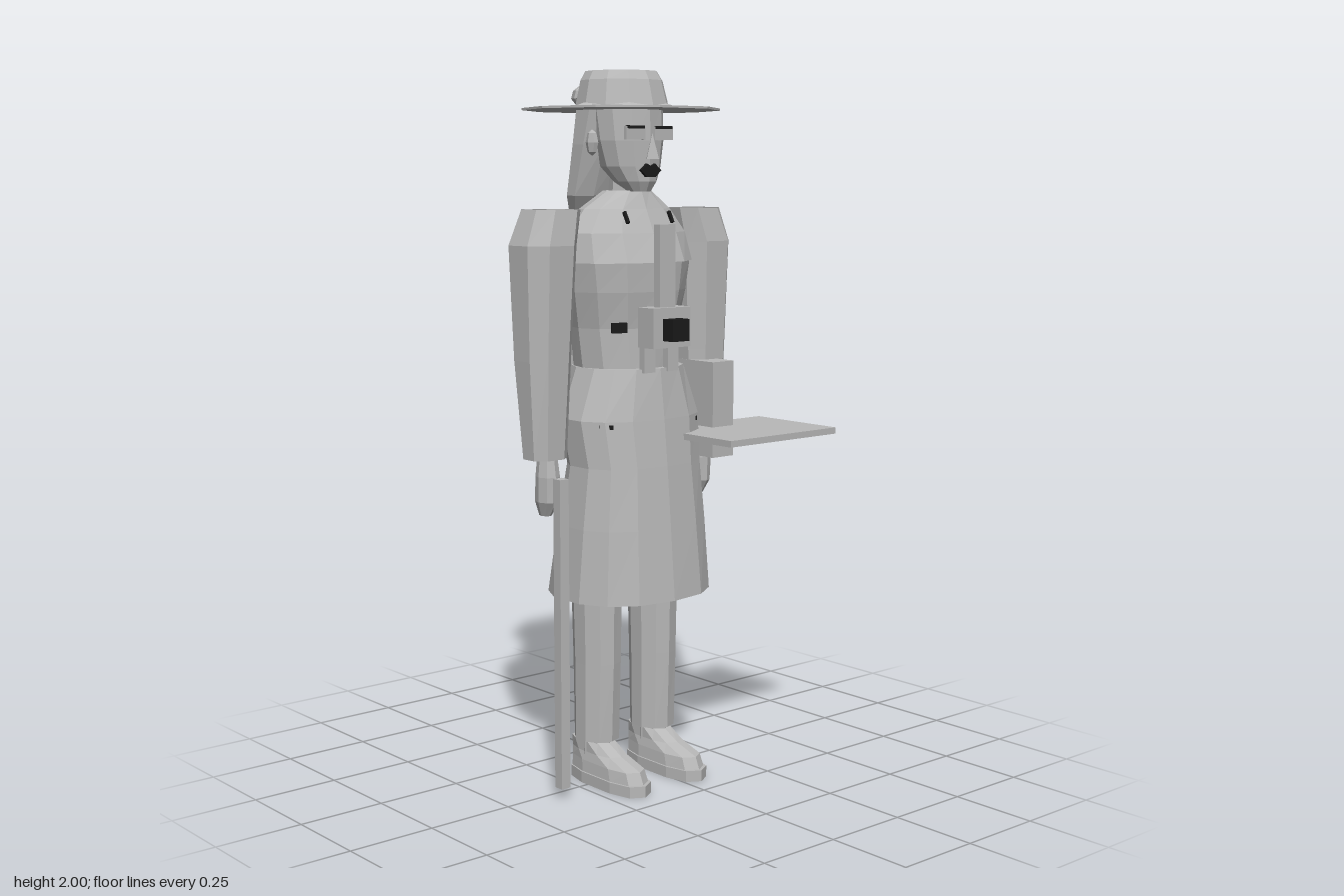
import * as THREE from 'three';

const CX = -0.06; // body axis

export function createModel() {
  const model = new THREE.Group();
  model.name = 'traveller';
  const grey = new THREE.MeshStandardMaterial({ color: 0xb8b8b8, flatShading: true, side: THREE.DoubleSide });
  grey.name = 'light grey';
  const black = new THREE.MeshStandardMaterial({ color: 0x1a1a1a, flatShading: true, side: THREE.DoubleSide });
  black.name = 'black';

  function add(name, geo, mat = grey) {
    const m = new THREE.Mesh(geo, mat);
    m.name = name;
    model.add(m);
    return m;
  }

  // Box given by its extents
  function box(name, x0, x1, y0, y1, z0, z1, mat) {
    const m = add(name, new THREE.BoxGeometry(x1 - x0, y1 - y0, z1 - z0), mat);
    m.position.set((x0 + x1) / 2, (y0 + y1) / 2, (z0 + z1) / 2);
    return m;
  }

  // Rings of n sides stacked upwards; row = [y, x0, x1, zBack, zFront]
  function loft(rows, n, { bottom = true, top = true, turn = 0, power = 1 } = {}) {
    const pos = [], idx = [];
    const soft = v => Math.sign(v) * Math.abs(v) ** power;
    for (const [y, x0, x1, z0, z1] of rows) {
      for (let i = 0; i < n; i++) {
        const a = (i + turn) / n * Math.PI * 2;
        pos.push((x0 + x1) / 2 + soft(Math.sin(a)) * (x1 - x0) / 2, y, (z0 + z1) / 2 + soft(Math.cos(a)) * (z1 - z0) / 2);
      }
    }
    for (let r = 0; r < rows.length - 1; r++) {
      for (let i = 0; i < n; i++) {
        const a = r * n + i, b = r * n + (i + 1) % n;
        idx.push(a, b, b + n, a, b + n, a + n);
      }
    }
    const last = (rows.length - 1) * n;
    for (let i = 1; i < n - 1; i++) {
      if (bottom) idx.push(0, i + 1, i);
      if (top) idx.push(last, last + i, last + i + 1);
    }
    const g = new THREE.BufferGeometry();
    g.setAttribute('position', new THREE.Float32BufferAttribute(pos, 3));
    g.setIndex(idx);
    g.computeVertexNormals();
    return g;
  }

  // Rows symmetric about the body axis; row = [y, halfWidth, zBack, zFront]
  const mid = rows => rows.map(([y, w, z0, z1]) => [y, CX - w, CX + w, z0, z1]);

  // Hat
  const brim = add('hatBrim', new THREE.CylinderGeometry(0.275, 0.275, 0.006, 10));
  brim.position.set(CX, 1.897, -0.037);
  brim.rotation.y = Math.PI / 2;
  const hatBase = add('hatBase', new THREE.CylinderGeometry(0.13, 0.17, 0.014, 6));
  hatBase.position.set(CX, 1.906, -0.037);
  hatBase.rotation.y = Math.PI / 2;
  add('hatCrown', loft(mid([[1.9, 0.132, -0.165, 0.1], [1.975, 0.115, -0.15, 0.08], [2, 0.1, -0.138, 0.065]]), 12));
  add('hatBow', loft([[1.902, -0.095, -0.02, -0.205, -0.14], [1.93, -0.115, -0.003, -0.226, -0.13],
    [1.952, -0.11, -0.01, -0.22, -0.13], [1.97, -0.085, -0.035, -0.2, -0.15]], 8));

  // Head and hair
  add('neck', loft(mid([[1.6, 0.06, -0.07, 0.05], [1.72, 0.05, -0.06, 0.04]]), 8));
  add('head', loft(mid([[1.672, 0.035, 0, 0.07], [1.7, 0.06, -0.04, 0.083], [1.74, 0.085, -0.08, 0.085],
    [1.81, 0.1, -0.1, 0.088], [1.9, 0.105, -0.12, 0.085]]), 12));
  add('hair', loft(mid([[1.55, 0.07, -0.19, -0.14], [1.66, 0.122, -0.175, -0.06], [1.8, 0.125, -0.157, -0.005],
    [1.895, 0.122, -0.155, 0.03]]), 10));
  const nose = add('nose', new THREE.ConeGeometry(0.02, 0.07, 4));
  nose.position.set(CX, 1.795, 0.095);
  nose.scale.z = 1.4;
  for (const s of [-1, 1]) {
    box('eyePlate', CX + s * 0.05 - 0.034, CX + s * 0.05 + 0.034, 1.812, 1.848, 0.076, 0.085);
    box('eyeLine', CX + s * 0.05 - 0.03, CX + s * 0.05 + 0.03, 1.842, 1.85, 0.078, 0.087, black);
    const ear = add('ear', new THREE.SphereGeometry(0.03, 6, 4));
    ear.scale.set(0.5, 1.2, 0.7);
    ear.position.set(CX + s * 0.11, 1.805, -0.03);
  }
  // Lips with two peaks
  const lips = new THREE.Shape([[-0.036, 0], [-0.014, 0.018], [0, 0.011], [0.014, 0.018], [0.036, 0], [0.016, -0.018], [-0.016, -0.018]]
    .map(p => new THREE.Vector2(...p)));
  add('lips', new THREE.ExtrudeGeometry(lips, { depth: 0.009, bevelEnabled: false }), black).position.set(CX, 1.73, 0.082);

  // Jacket and short cape
  add('jacket', loft(mid([[1.17, 0.15, -0.155, 0.11], [1.3, 0.165, -0.155, 0.105], [1.4, 0.185, -0.15, 0.12],
    [1.48, 0.198, -0.15, 0.125], [1.56, 0.17, -0.14, 0.08]]), 12));
  add('cape', loft(mid([[1.48, 0.205, -0.156, 0.132], [1.56, 0.195, -0.145, 0.1], [1.625, 0.145, -0.115, 0.07],
    [1.675, 0.07, -0.075, 0.05]]), 12, { bottom: false }));
  for (const s of [-1, 1]) {
    const tick = box('collarTick', CX + s * 0.08 - 0.004, CX + s * 0.08 + 0.004, 1.585, 1.62, 0.075, 0.084, black);
    tick.rotation.x = -0.5;
    const flap = box('chestPocket', CX + s * 0.107 - 0.022, CX + s * 0.107 + 0.022, 1.29, 1.318, 0.077, 0.086, black);
    flap.rotation.y = s * 0.6;
    const slit = box('skirtPocket', CX + s * 0.163 - 0.02, CX + s * 0.163 + 0.02, 1.03, 1.042, 0.088, 0.097, black);
    slit.rotation.y = s * 0.85;
  }

  // Skirt, open at the hem
  add('skirt', loft(mid([[0.545, 0.232, -0.205, 0.192], [0.75, 0.217, -0.165, 0.175], [0.92, 0.2, -0.13, 0.16],
    [1.05, 0.21, -0.165, 0.147], [1.19, 0.155, -0.155, 0.13]]), 14, { bottom: false, power: 0.85 }));

  // Arms, hands, legs and shoes, mirrored about the body axis
  for (const s of [-1, 1]) {
    const side = rows => rows.map(([y, a, b, z0, z1]) =>
      [y, Math.min(CX + s * a, CX + s * b), Math.max(CX + s * a, CX + s * b), z0, z1]);
    add('sleeve', loft(side([[0.95, 0.225, 0.345, -0.075, 0.03], [1.22, 0.21, 0.36, -0.105, 0.045],
      [1.53, 0.193, 0.37, -0.122, 0.06], [1.625, 0.175, 0.335, -0.1, 0.045]]), 8, { turn: 0.5, top: false, power: 0.8 }));
    add('hand', loft(side([[0.79, 0.265, 0.295, -0.05, -0.01], [0.83, 0.25, 0.31, -0.06, 0.015],
      [0.9, 0.248, 0.312, -0.055, 0.018], [0.96, 0.255, 0.305, -0.05, 0.01]]), 8));
    add('trouserLeg', loft(side([[0.125, 0.042, 0.166, -0.095, 0.042], [0.35, 0.04, 0.167, -0.1, 0.05],
      [0.62, 0.036, 0.172, -0.107, 0.055]]), 10));
    add('ankle', loft(side([[0.07, 0.06, 0.15, -0.08, 0.03], [0.14, 0.06, 0.15, -0.08, 0.03]]), 8));
    add('sole', loft(side([[0, 0.047, 0.163, -0.118, 0.19], [0.032, 0.047, 0.163, -0.118, 0.19]]), 10, { power: 0.75 }));
    add('shoe', loft(side([[0.032, 0.052, 0.158, -0.115, 0.18], [0.065, 0.055, 0.155, -0.115, 0.165],
      [0.09, 0.06, 0.15, -0.113, 0.085], [0.12, 0.06, 0.15, -0.11, 0.025]]), 10, { power: 0.75 }));
  }

  // Backpack with a bulging back
  const packShape = [[0.175, -0.155], [0.165, -0.235], [0.12, -0.318], [0, -0.335], [-0.12, -0.318], [-0.165, -0.235], [-0.175, -0.155]];
  const pack = new THREE.ExtrudeGeometry(new THREE.Shape(packShape.map(([x, z]) => new THREE.Vector2(x, -z))),
    { depth: 0.385, steps: 2, bevelEnabled: false });
  pack.rotateX(-Math.PI / 2);
  const p = pack.attributes.position;
  for (let i = 0; i < p.count; i++) {
    const edge = Math.abs(p.getY(i) / 0.1925 - 1); // 1 at top and bottom, 0 halfway
    p.setZ(i, -0.155 + (p.getZ(i) + 0.155) * (1 - 0.18 * edge));
  }
  add('backpack', pack).position.set(CX, 1.145, 0);

  // Camera hanging on the chest
  box('cameraBody', -0.125, 0.01, 1.25, 1.36, 0.11, 0.175);
  box('cameraLens', -0.09, -0.03, 1.27, 1.33, 0.175, 0.215, black);
  box('cameraStrap', -0.088, -0.032, 1.36, 1.585, 0.135, 0.16);
  for (const x of [-0.1, -0.015]) box('jacketStrip', x - 0.02, x + 0.02, 1.18, 1.25, 0.112, 0.132);

  // Side bag, tray and walking stick
  box('sideBag', 0.155, 0.235, 0.915, 1.19, -0.165, 0.11);
  box('tray', 0.015, 0.425, 0.985, 1.003, 0.02, 0.335);
  box('walkingStick', -0.355, -0.325, 0.03, 0.9, 0.025, 0.055);

  return model;
}
